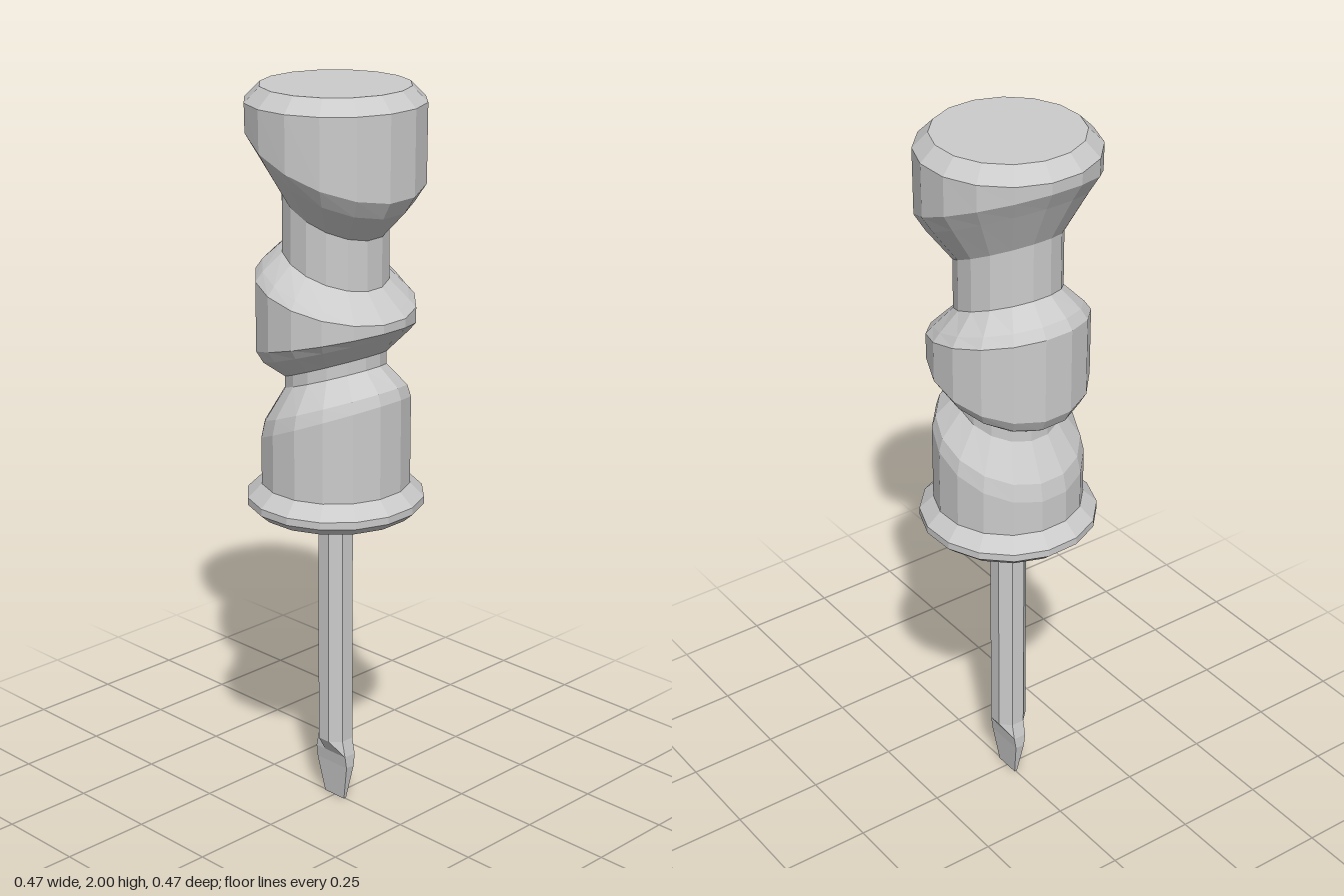
import * as THREE from 'three';

// Skin a bottom-to-top list of rings (arrays of [x, y, z]) and cap both ends
function loft(rings) {
  const n = rings[0].length;
  const pos = rings.flat(2);
  const index = [];
  for (let i = 0; i < rings.length - 1; i++) {
    for (let j = 0; j < n; j++) {
      const a = i * n + j, b = i * n + (j + 1) % n;
      index.push(a, a + n, b + n, a, b + n, b);
    }
  }
  const top = (rings.length - 1) * n;
  for (let j = 1; j < n - 1; j++) {
    index.push(0, j, j + 1);
    index.push(top, top + j + 1, top + j);
  }
  const geo = new THREE.BufferGeometry();
  geo.setAttribute('position', new THREE.Float32BufferAttribute(pos, 3));
  geo.setIndex(index);
  const flat = geo.toNonIndexed();
  flat.computeVertexNormals();
  return flat;
}

// Round ring, tilted so its front and back sit at different heights
function tiltedRing(r, yFront, yBack, sides, phase) {
  return Array.from({ length: sides }, (_, j) => {
    const a = phase + (j / sides) * Math.PI * 2;
    const s = Math.sin(a);
    return [r * Math.cos(a), (yFront + yBack) / 2 + s * (yFront - yBack) / 2, r * s];
  });
}

// Eight-point rectangular ring for the blade, matching the shaft's octagon
function bladeRing(halfX, halfZ, y) {
  return Array.from({ length: 8 }, (_, j) => {
    const a = Math.PI / 8 + j * Math.PI / 4;
    const c = Math.cos(a), s = Math.sin(a);
    const z = Math.abs(s) > 0.7 ? halfZ : halfZ * 0.4;
    return [Math.sign(c) * halfX, y, Math.sign(s) * z];
  });
}

export function createModel() {
  const group = new THREE.Group();
  const material = new THREE.MeshStandardMaterial({ color: 0xcccccc, flatShading: true });
  const add = (name, geometry) => {
    const mesh = new THREE.Mesh(geometry, material);
    mesh.name = name;
    group.add(mesh);
  };

  // Handle with collar and slanted grip grooves: radius, front height, back height
  const handle = [
    [0.212, 0.865, 0.865],
    [0.238, 0.888, 0.888],
    [0.238, 0.908, 0.908],
    [0.2, 0.945, 0.945],
    [0.2, 1.2, 1.035],
    [0.19, 1.23, 1.085],
    [0.135, 1.28, 1.185],
    [0.135, 1.315, 1.215],
    [0.192, 1.375, 1.25],
    [0.211, 1.396, 1.285],
    [0.211, 1.418, 1.522],
    [0.192, 1.437, 1.55],
    [0.14, 1.49, 1.597],
    [0.14, 1.622, 1.755],
    [0.205, 1.69, 1.88],
    [0.234, 1.735, 1.93],
    [0.235, 1.96, 1.96],
    [0.195, 2, 2],
  ];
  add('handle', loft(handle.map(([r, f, b]) => tiltedRing(r, f, b, 16, 0.167))));

  // Octagonal shaft tapering into a flat blade
  add('shaftAndBlade', loft([
    bladeRing(0.004, 0.037, 0),
    bladeRing(0.014, 0.057, 0.105),
    bladeRing(0.019, 0.056, 0.14),
    tiltedRing(0.05, 0.185, 0.185, 8, Math.PI / 8),
    tiltedRing(0.05, 0.875, 0.875, 8, Math.PI / 8),
  ]));

  return group;
}
